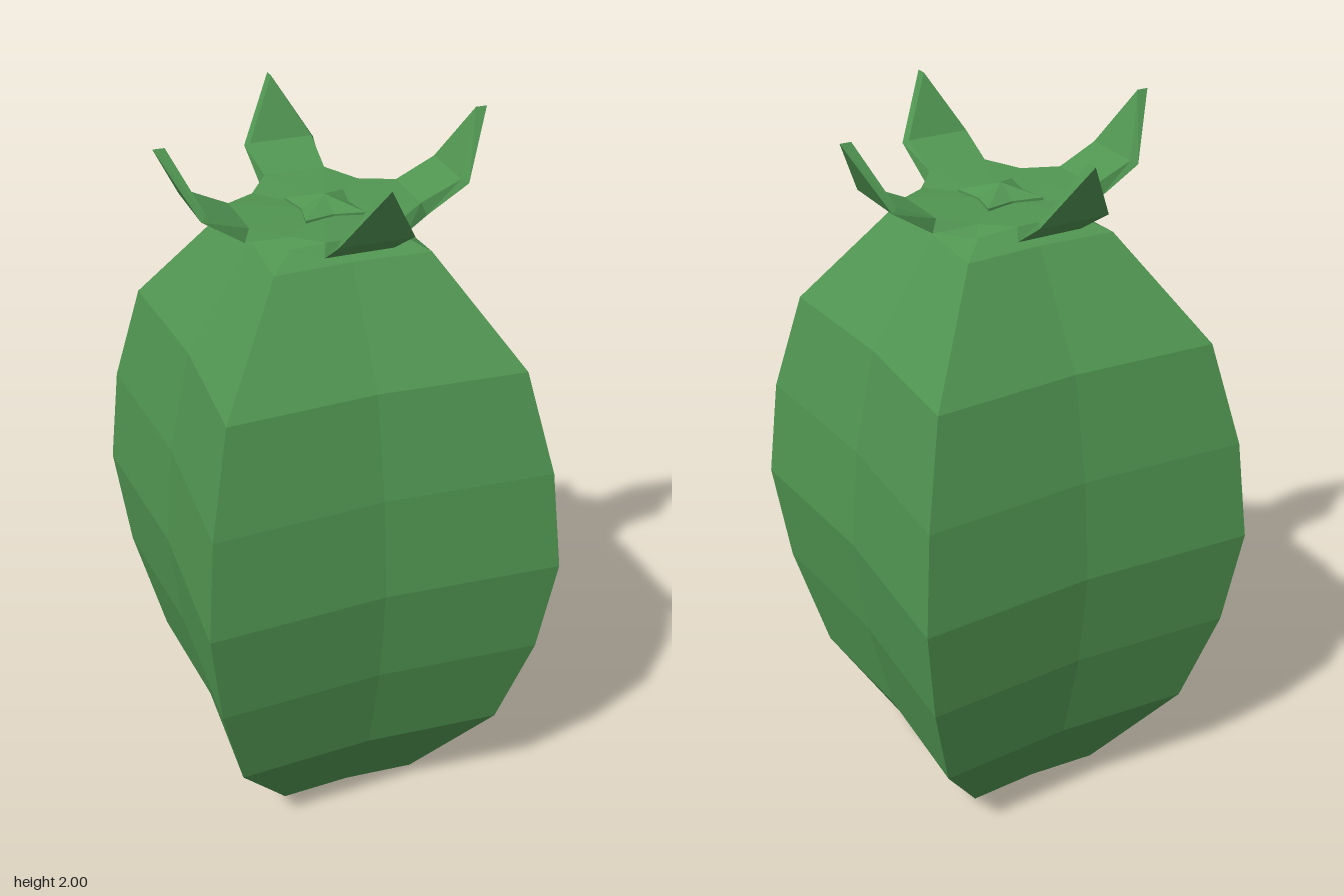
import * as THREE from 'three';

// Faceted surface from polygon faces, each a list of [x, y, z] corners, counter-clockwise from outside
function facets(faces) {
  const pos = [];
  for (const f of faces)
    for (let i = 1; i < f.length - 1; i++) pos.push(...f[0], ...f[i], ...f[i + 1]);
  const g = new THREE.BufferGeometry();
  g.setAttribute('position', new THREE.Float32BufferAttribute(pos, 3));
  g.computeVertexNormals();
  return g;
}

// Four-cornered star ring: corners on the axes, slightly pinched between them
function starRing(r, y, pinch) {
  return Array.from({ length: 8 }, (_, i) => {
    const a = (i * Math.PI) / 4;
    const d = i % 2 ? r * pinch * Math.SQRT2 : r;
    return [d * Math.sin(a), y, d * Math.cos(a)];
  });
}

// Joins rings from bottom to top and closes both ends
function loft(profile, pinch) {
  const rings = profile.map(([r, y]) => starRing(r, y, pinch));
  const faces = [];
  for (let k = 0; k < rings.length - 1; k++)
    for (let i = 0; i < 8; i++) {
      const j = (i + 1) % 8;
      faces.push([rings[k][i], rings[k][j], rings[k + 1][j], rings[k + 1][i]]);
    }
  const low = rings[0], high = rings[rings.length - 1];
  for (let i = 0; i < 8; i++) {
    const j = (i + 1) % 8;
    faces.push([[0, low[0][1], 0], low[j], low[i]], [[0, high[0][1], 0], high[i], high[j]]);
  }
  return facets(faces);
}

// Outline of one leaf quadrant: waist, neck, shoulder, tip and the mirrored side
function leafOutline([waist, neck, shoulder, tip], turn) {
  const flip = ([x, y, z]) => [z, y, x];
  const rotate = ([x, y, z]) => {
    for (let i = 0; i < turn; i++) [x, z] = [z, -x];
    return [x, y, z];
  };
  return [flip(waist), flip(neck), flip(shoulder), tip, shoulder, neck, waist].map(rotate);
}

// Thin four-leaf crown with curled-up tips
function crownGeometry() {
  const upper = [[0.21, 1.785, 0], [0.225, 1.795, 0.105], [0.305, 1.845, 0.18], [0.295, 2, 0.295]];
  const lower = [[0.23, 1.755, 0], [0.24, 1.76, 0.11], [0.325, 1.835, 0.185], [0.317, 2, 0.317]];
  const faces = [];
  for (let q = 0; q < 4; q++) {
    const u = leafOutline(upper, q), l = leafOutline(lower, q);
    const skin = (p, y) => [
      [[0, y, 0], p[0], p[1]], [[0, y, 0], p[1], p[5]], [[0, y, 0], p[5], p[6]],
      [p[1], p[2], p[4], p[5]], [p[2], p[3], p[4]],
    ];
    faces.push(...skin(u, 1.78));
    faces.push(...skin(l, 1.755).map((f) => f.reverse()));
    for (let i = 0; i < 6; i++) faces.push([l[i], l[i + 1], u[i + 1], u[i]]);
  }
  return facets(faces);
}

export function createModel() {
  const group = new THREE.Group();
  const green = new THREE.MeshStandardMaterial({ color: 0x519652 });
  green.name = 'leafGreen';

  const add = (name, geometry) => {
    const mesh = new THREE.Mesh(geometry, green);
    mesh.name = name;
    group.add(mesh);
  };

  // Ribbed fruit body: corner radius and height of each ring
  add('body', loft([
    [0.285, 0], [0.545, 0.285], [0.65, 0.575], [0.7, 0.86],
    [0.665, 1.145], [0.575, 1.43], [0.3, 1.715], [0.19, 1.755],
  ], 0.47));
  add('leafCrown', crownGeometry());
  // Small pointed stub in the middle of the crown
  add('stemStub', loft([[0.115, 1.775], [0.115, 1.79], [0.001, 1.82]], 0.4));
  return group;
}
